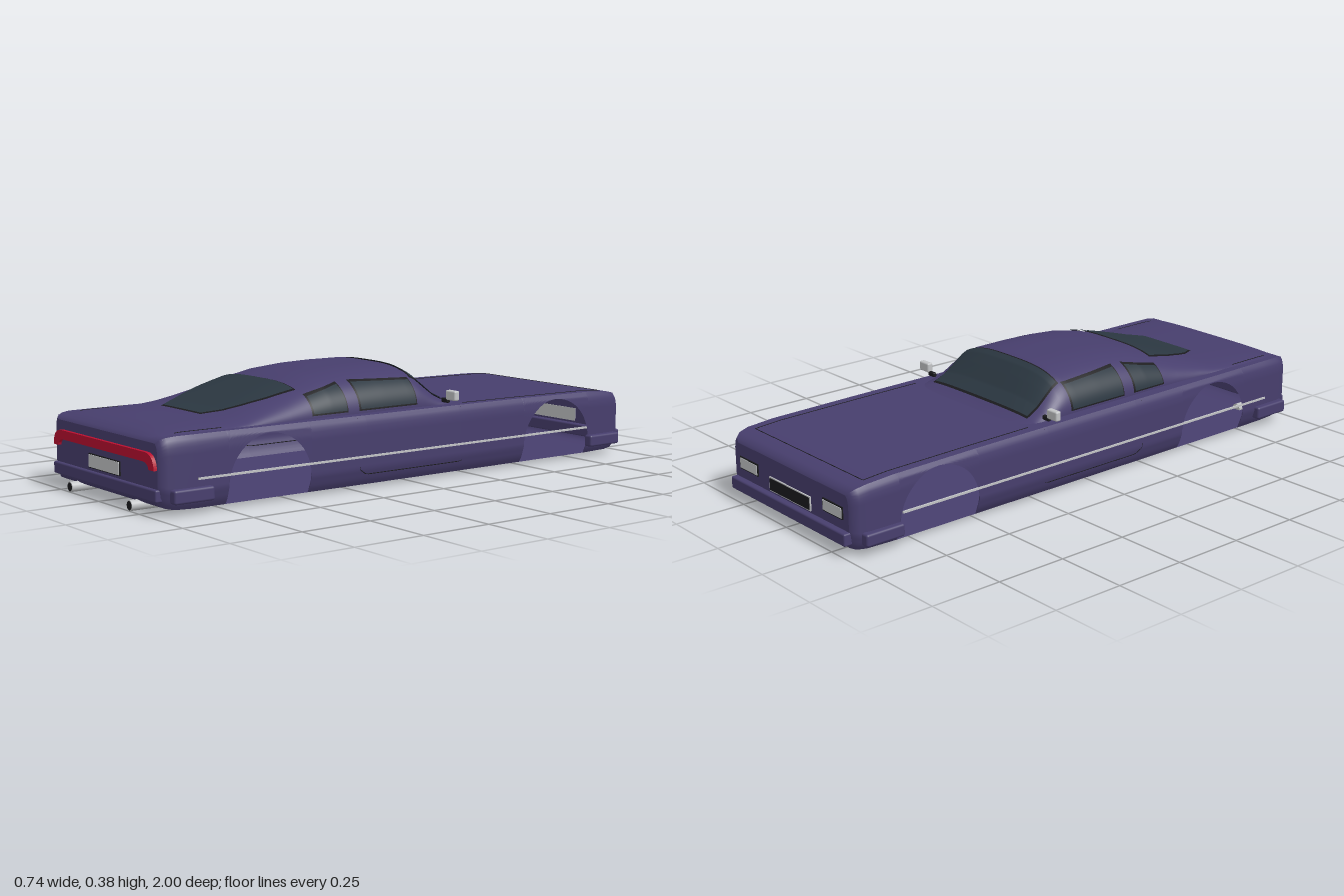
import * as THREE from 'three';
import { RoundedBoxGeometry } from 'three/addons/geometries/RoundedBoxGeometry.js';

const mat = (name, color, side = THREE.DoubleSide) => {
  const m = new THREE.MeshStandardMaterial({ color, side });
  m.name = name;
  return m;
};

// Linear lookup in rows sorted by their first column
function lookup(rows, v, col = 1) {
  if (v <= rows[0][0]) return rows[0][col];
  for (let i = 1; i < rows.length; i++) {
    const a = rows[i - 1], b = rows[i];
    if (v <= b[0]) return a[col] + (b[col] - a[col]) * (v - a[0]) / (b[0] - a[0]);
  }
  return rows[rows.length - 1][col];
}

// Surface through fn(i, j) -> [x, y, z]
function grid(nu, nv, fn) {
  const pos = [], idx = [];
  for (let i = 0; i <= nu; i++) for (let j = 0; j <= nv; j++) pos.push(...fn(i, j));
  for (let i = 0; i < nu; i++) for (let j = 0; j < nv; j++) {
    const a = i * (nv + 1) + j, b = a + nv + 1;
    idx.push(a, b, a + 1, b, b + 1, a + 1);
  }
  const g = new THREE.BufferGeometry();
  g.setAttribute('position', new THREE.Float32BufferAttribute(pos, 3));
  g.setIndex(idx);
  g.computeVertexNormals();
  return g;
}

// Lower body stations: z, half width, top, bottom
const BODY = [
  [-0.978, 0.315, 0.198, 0.035], [-0.972, 0.33, 0.21, 0.026], [-0.955, 0.342, 0.221, 0.019],
  [-0.92, 0.348, 0.229, 0.015], [-0.82, 0.35, 0.236, 0.013], [-0.5, 0.35, 0.24, 0.013],
  [-0.2, 0.35, 0.242, 0.013], [0.2, 0.35, 0.243, 0.013], [0.85, 0.35, 0.245, 0.014],
  [0.92, 0.349, 0.245, 0.017], [0.95, 0.343, 0.242, 0.024], [0.968, 0.333, 0.235, 0.033],
  [0.975, 0.32, 0.225, 0.042]];
// Side fullness from sill to shoulder
const SIDE = [[0, 0.93], [0.08, 0.965], [0.25, 1], [0.8, 1], [0.93, 0.988], [1, 0.955]];
// Cabin stations: z, roof height, half width at base
const CABIN = [
  [-0.27, 0.24, 0.285], [-0.21, 0.253, 0.293], [-0.16, 0.287, 0.295], [-0.12, 0.33, 0.295],
  [-0.09, 0.36, 0.295], [-0.065, 0.374, 0.295], [-0.04, 0.379, 0.295], [0.08, 0.38, 0.295],
  [0.19, 0.377, 0.295], [0.3, 0.367, 0.295], [0.385, 0.348, 0.295], [0.46, 0.326, 0.297],
  [0.567, 0.294, 0.302], [0.63, 0.276, 0.307], [0.69, 0.265, 0.31], [0.78, 0.262, 0.317],
  [0.88, 0.259, 0.325], [0.94, 0.251, 0.328], [0.965, 0.236, 0.325]];
const BASE = 0.236, PX = 3.2, PY = 2.2;

const bottom = z => lookup(BODY, z, 3), deck = z => lookup(BODY, z, 2);
const bodyX = (z, y) => lookup(BODY, z, 1) * lookup(SIDE, (y - bottom(z)) / (deck(z) - bottom(z)));
const roofY = (z, x) => BASE + (lookup(CABIN, z, 1) - BASE) *
  Math.max(0, 1 - Math.abs(x / lookup(CABIN, z, 2)) ** PX) ** (1 / PY);
const cabinX = (z, y) => lookup(CABIN, z, 2) *
  Math.max(0, 1 - ((y - BASE) / (lookup(CABIN, z, 1) - BASE)) ** PY) ** (1 / PX);

export function createModel() {
  const paint = mat('purple paint', 0x473e6d), glass = mat('dark glass', 0x2b3741);
  const chrome = mat('light metal', 0xc2c4c6), black = mat('black trim', 0x1b1b1e);
  const red = mat('red lamp', 0xb90f2f);
  const car = new THREE.Group();
  car.name = 'car';
  const add = (name, geo, m, x = 0, y = 0, z = 0) => {
    const o = new THREE.Mesh(geo, m);
    o.name = name;
    o.position.set(x, y, z);
    car.add(o);
    return o;
  };
  const both = (name, geo, m, x = 0, y = 0, z = 0) => {
    add('left' + name, geo, m, x, y, z);
    add('right' + name, geo, m, -x, y, z).scale.x = -1;
  };
  const box = (w, h, d, r = 0) => r ? new RoundedBoxGeometry(w, h, d, 3, r) : new THREE.BoxGeometry(w, h, d);

  // Side panels with open wheel arches
  const R = 0.157, AY = 0.068, N = 24;
  const arch = c => {
    const out = [[c - R, bottom(c)]];
    for (let k = 0; k <= N; k++) {
      const a = Math.PI * (1 - k / N);
      out.push([c + R * Math.cos(a), AY + R * Math.sin(a)]);
    }
    return [...out, [c + R, bottom(c)]];
  };
  const span = (a, b) => BODY.filter(s => s[0] > a && s[0] < b).map(s => [s[0], s[3]]);
  const cols = [...span(-2, -0.652 - R), ...arch(-0.652), ...span(-0.652 + R, 0.58 - R),
    ...arch(0.58), ...span(0.58 + R, 2)];
  both('SidePanel', grid(cols.length - 1, 20, (i, j) => {
    const [z, lo] = cols[i], y = lo + (deck(z) - lo) * j / 20;
    return [bodyX(z, y), y, z];
  }), paint);

  // Deck, floor and end panels
  const level = (f) => grid(BODY.length - 1, 8, (i, j) => {
    const z = BODY[i][0], y = f(z);
    return [bodyX(z, y) * (j / 4 - 1), y, z];
  });
  add('deck', level(deck), paint);
  add('floor', level(bottom), paint);
  for (const [name, z] of [['nosePanel', -0.978], ['tailPanel', 0.975]])
    add(name, grid(20, 2, (i, j) => {
      const y = bottom(z) + (deck(z) - bottom(z)) * i / 20;
      return [bodyX(z, y) * (j - 1), y, z];
    }), paint);

  // Fastback cabin flowing into the boot lid
  add('cabin', grid(CABIN.length - 1, 56, (i, j) => {
    const [z, top, w] = CABIN[i], a = Math.PI * j / 56, c = Math.cos(a);
    return [w * Math.sign(c) * Math.abs(c) ** (2 / PX),
      BASE + (top - BASE) * Math.abs(Math.sin(a)) ** (2 / PY), z];
  }), paint);

  // Glass laid on the cabin, each over a slightly larger black seal
  const layers = [['Seal', black, 0.003, 0.006], ['', glass, 0.006, 0]];
  const screen = (name, rows) => layers.forEach(([suffix, m, off, edge]) => {
    const a = rows[0][0] - edge, b = rows[rows.length - 1][0] + edge;
    add(name + suffix, grid(40, 40, (i, j) => {
      const z = a + (b - a) * i / 40, x = (lookup(rows, z) + edge) * (j / 20 - 1);
      return [x, roofY(z, x) + off, z];
    }), m);
  });
  screen('windscreen', [[-0.205, 0.245], [-0.07, 0.235]]);
  screen('rearWindow', [[0.395, 0.207], [0.5, 0.193], [0.58, 0.17], [0.64, 0.145], [0.69, 0.115]]);
  const sideWindow = (name, a, b, ya, yb) => layers.forEach(([suffix, m, off, edge]) =>
    both(name + suffix, grid(16, 16, (i, j) => {
      const z = a - edge + (b - a + 2 * edge) * i / 16, lo = 0.258 - edge;
      const y = lo + (ya + (yb - ya) * i / 16 + edge - lo) * j / 16;
      return [cabinX(z, y) + off, y, z];
    }), m));
  sideWindow('DoorWindow', -0.048, 0.185, 0.334, 0.343);
  sideWindow('QuarterWindow', 0.242, 0.375, 0.34, 0.312);

  // Panel seams
  const seam = pts => {
    const path = new THREE.CurvePath();
    const v = pts.map(p => new THREE.Vector3(...p));
    for (let i = 1; i < v.length; i++) path.add(new THREE.LineCurve3(v[i - 1], v[i]));
    return new THREE.TubeGeometry(path, 60, 0.0016, 4);
  };
  const onSide = (z, y) => [bodyX(z, y), y, z];
  both('DoorSeam', seam([[-0.21, 0.238], [-0.21, 0.05], [0.2, 0.05], [0.23, 0.07], [0.23, 0.238]]
    .map(p => onSide(...p))), black);
  both('HoodSeam', seam([-0.25, -0.5, -0.82, -0.91].map(z => [0.3, deck(z), z])), black);
  add('hoodFrontSeam', seam([[-0.3, deck(-0.91), -0.91], [0.3, deck(-0.91), -0.91]]), black);
  both('BootSeam', seam([0.73, 0.78, 0.83, 0.88, 0.9].map(z => [0.295, roofY(z, 0.295), z])), black);

  // Side trim stripes
  both('SideStripe', box(0.006, 0.007, 1.65), chrome, 0.351, 0.11, 0.025);

  // Bumpers with separate corner pieces
  add('rearBumper', box(0.65, 0.04, 0.04, 0.006), paint, 0, 0.065, 0.966);
  add('frontBumper', box(0.64, 0.042, 0.045, 0.006), paint, 0, 0.06, -0.9775);
  both('RearBumperCorner', box(0.034, 0.045, 0.145, 0.008), paint, 0.353, 0.063, 0.873);
  both('FrontBumperCorner', box(0.034, 0.042, 0.145, 0.008), paint, 0.353, 0.06, -0.878);

  // Full-width tail lamp with drooping ends
  const lamp = new THREE.Shape();
  lamp.moveTo(-0.318, 0.143);
  lamp.quadraticCurveTo(-0.315, 0.195, -0.265, 0.195);
  lamp.lineTo(0.265, 0.195);
  lamp.quadraticCurveTo(0.315, 0.195, 0.318, 0.143);
  lamp.lineTo(0.287, 0.143);
  lamp.quadraticCurveTo(0.283, 0.165, 0.25, 0.165);
  lamp.lineTo(-0.25, 0.165);
  lamp.quadraticCurveTo(-0.283, 0.165, -0.287, 0.143);
  add('tailLamp', new THREE.ExtrudeGeometry(lamp, { depth: 0.02, bevelEnabled: false, curveSegments: 12 }),
    red, 0, 0, 0.967);
  add('rearPlateFrame', box(0.198, 0.047, 0.006), black, 0, 0.118, 0.976);
  add('rearPlate', box(0.19, 0.041, 0.006), chrome, 0, 0.118, 0.978);

  // Nose: grille and headlamps
  add('grilleFrame', box(0.23, 0.048, 0.006), chrome, 0, 0.112, -0.979);
  add('grille', box(0.22, 0.04, 0.006), black, 0, 0.112, -0.981);
  both('HeadlampFrame', box(0.106, 0.042, 0.006), black, 0.235, 0.135, -0.979);
  both('Headlamp', box(0.098, 0.034, 0.006), chrome, 0.235, 0.135, -0.981);

  // Door mirrors
  both('MirrorStalk', box(0.032, 0.016, 0.014, 0.004), black, 0.305, 0.258, -0.172);
  both('Mirror', box(0.05, 0.034, 0.022, 0.006), chrome, 0.34, 0.278, -0.172);

  // Exhaust pipes
  const pipe = new THREE.CylinderGeometry(0.017, 0.017, 0.12, 24).rotateX(Math.PI / 2);
  both('Exhaust', pipe, chrome, 0.19, 0.019, 0.939);
  both('ExhaustBore', new THREE.CircleGeometry(0.0145, 24), black, 0.19, 0.019, 1.0);
  return car;
}
